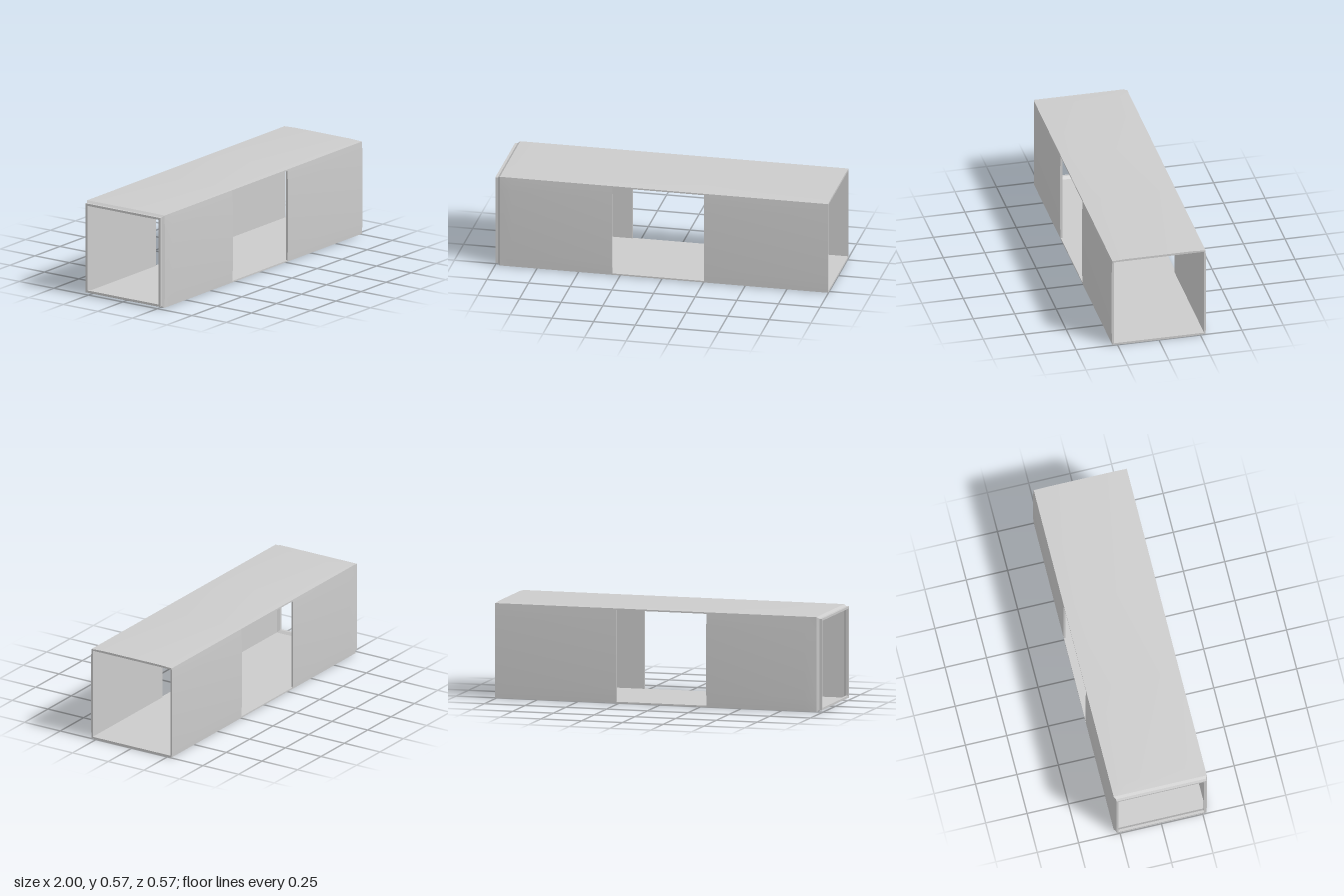
import * as THREE from 'three';
import { toCreasedNormals } from 'three/addons/utils/BufferGeometryUtils.js';

const CENTER_Y = 0.285;
const CORNER = 0.281; // half-size at the corners
const BOW = 0.285; // half-size at the middle of each slightly bowed side
const FLAT = 0.2; // half-width of the flat middle of each side
const INNER = 0.272; // half-size of the hollow

// Square ring at x: corner and bowed middle points of all four sides
function ring([x, corner, middle]) {
  const points = [];
  for (let side = 0; side < 4; side++) {
    for (let [z, y] of [[-corner, corner], [-FLAT, middle], [FLAT, middle]]) {
      for (let k = 0; k < side; k++) [z, y] = [y, -z];
      points.push([x, y, z]);
    }
  }
  return points;
}

// Hollow square tube: outer stations run towards +x, inner ones run back
function tube(name, stations, material) {
  const rings = stations.map(ring);
  const positions = [];
  rings.forEach((r, i) => {
    const next = rings[(i + 1) % rings.length];
    for (let j = 0; j < r.length; j++) {
      const k = (j + 1) % r.length;
      const [a, b, c, d] = [r[j], r[k], next[k], next[j]];
      positions.push(...a, ...b, ...c, ...a, ...c, ...d);
    }
  });
  const geometry = new THREE.BufferGeometry();
  geometry.setAttribute('position', new THREE.Float32BufferAttribute(positions, 3));
  const mesh = new THREE.Mesh(toCreasedNormals(geometry, 0.5), material);
  mesh.name = name;
  return mesh;
}

export function createModel() {
  const model = new THREE.Group();
  model.name = 'squareSleeve';
  const material = new THREE.MeshStandardMaterial({ color: 0xcccccc });
  const body = new THREE.Group();
  body.position.y = CENTER_Y;
  model.add(body);

  const windowStart = -0.295, windowEnd = 0.255;

  // Long section with the stepped-in collar at its end
  body.add(tube('collarSection', [
    [-1, 0.271, 0.271],
    [-0.985, 0.271, 0.271],
    [-0.97, CORNER, 0.282],
    [-0.9, CORNER, BOW],
    [windowStart, CORNER, BOW],
    [windowStart, INNER, INNER],
    [-0.97, INNER, INNER],
    [-0.985, 0.258, 0.258],
    [-1, 0.258, 0.258],
  ], material));

  // Plain open section
  body.add(tube('openSection', [
    [windowStart + (windowEnd - windowStart), CORNER, BOW],
    [1, CORNER, BOW],
    [1, INNER, INNER],
    [windowEnd, INNER, INNER],
  ], material));

  // Plates above and below the window that passes through front and back
  const profile = new THREE.Shape([
    [-CORNER, INNER], [CORNER, INNER], [CORNER, CORNER],
    [FLAT, BOW], [-FLAT, BOW], [-CORNER, CORNER],
  ].map(([z, y]) => new THREE.Vector2(z, y)));
  const extruded = new THREE.ExtrudeGeometry(profile, { depth: windowEnd - windowStart, bevelEnabled: false });
  extruded.rotateY(Math.PI / 2).translate(windowStart, 0, 0);
  const plate = toCreasedNormals(extruded, 0.5);
  ['topPlate', 'bottomPlate'].forEach((name, i) => {
    const mesh = new THREE.Mesh(plate, material);
    mesh.name = name;
    mesh.rotation.x = i * Math.PI;
    body.add(mesh);
  });

  return model;
}
